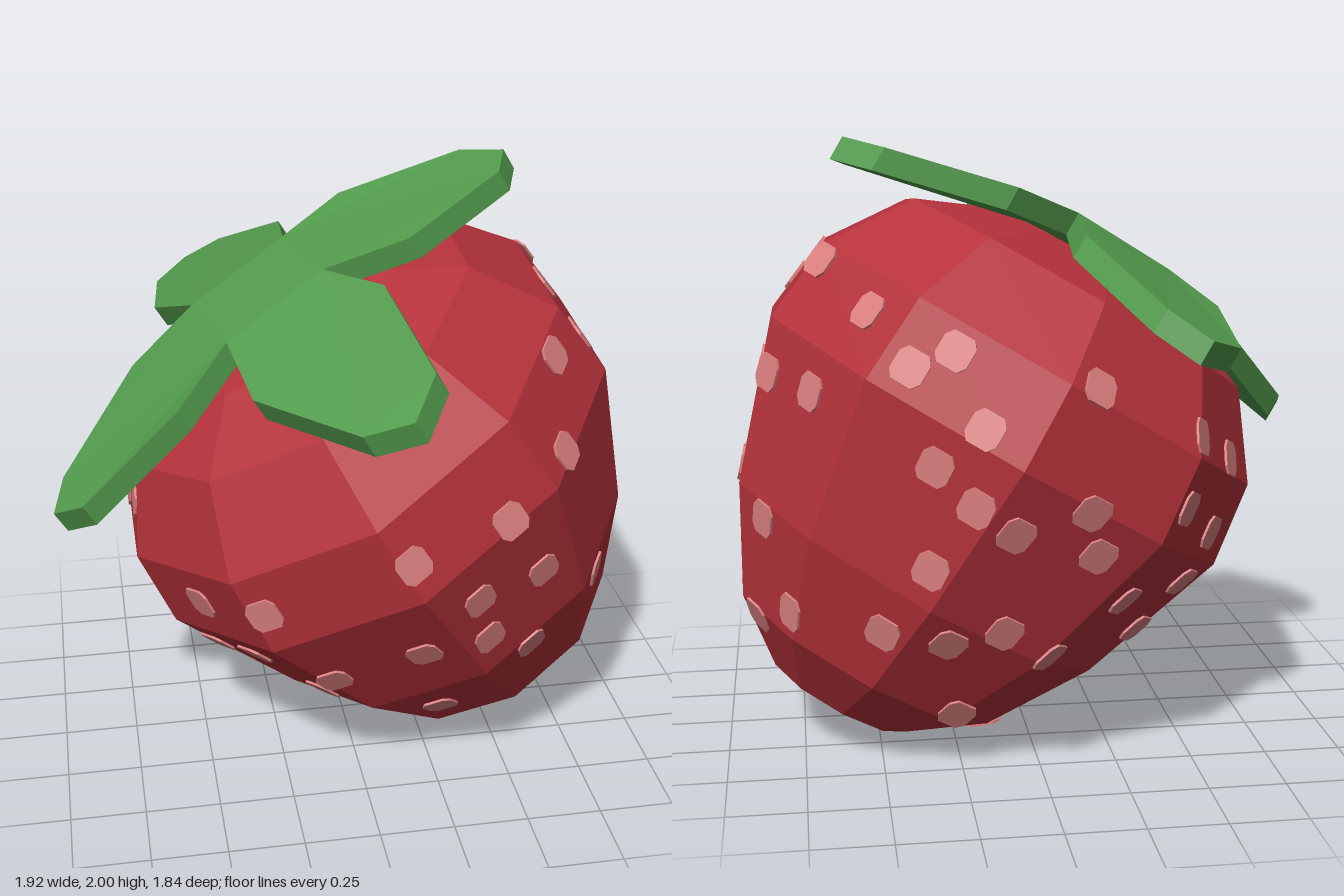
import * as THREE from 'three';
import { mergeGeometries } from 'three/addons/utils/BufferGeometryUtils.js';

const material = (name, color) => {
  const m = new THREE.MeshStandardMaterial({ color, flatShading: true });
  m.name = name;
  return m;
};

// Berry profile, [radius, height] from tip to crown
const PROFILE = [[0, -0.258], [0.26, -0.2], [0.485, -0.03], [0.69, 0.3], [0.87, 0.815],
  [0.835, 1.1], [0.65, 1.36], [0.38, 1.474], [0, 1.5]];

// One leaf seen from above, [x, z], starting at the crown centre
const LEAF = [[0, 0], [0.15, -0.22], [0.38, -0.36], [0.8, -0.36], [0.92, -0.24],
  [0.86, -0.09], [0.5, 0.15], [0.22, 0.15]];

// Seeds are projected onto the berry from a few directions: [across, up]
const SEEDS = [
  { from: [0, 0, 1], at: [[0.6, 1.53], [0.6, 1.285], [0.39, 1.14], [0.075, 1.06], [-0.355, 0.835],
    [-0.53, 0.76], [0.31, 0.86], [0.54, 0.89], [0.15, 0.65], [-0.12, 0.51], [-0.355, 0.52],
    [-0.46, 0.47], [0.365, 0.68], [0.81, 0.71], [0.54, 0.565], [0.65, 0.59], [-0.12, 0.32], [0.27, 0.27]] },
  { from: [1, 0, 0], at: [[-0.03, 1.63], [-0.415, 1.54], [-0.23, 1.525], [0.27, 1.635], [0.55, 1.515],
    [0.74, 1.42], [-0.575, 1.295], [0.02, 1.275], [0.3, 1.29], [0.5, 1.265], [0.79, 1.09], [0.09, 0.955],
    [-0.335, 0.72], [0.38, 0.84], [0.77, 0.77], [0.01, 0.475], [0.29, 0.495], [0.49, 0.565], [0.66, 0.545]] },
  { from: [0.636, -0.438, -0.636], at: [[0.22, 1.59], [0.2, 1.03], [0.5, 1.09], [0.64, 0.91], [0.4, 0.75],
    [0.63, 0.51], [0.18, 0.44], [0.49, 0.38], [0.29, 0.22], [0.04, 0.17]] },
  { from: [-0.636, 0.438, -0.636], at: [[-0.73, 1.37], [-0.67, 1.17], [-0.74, 0.89], [-0.76, 0.69],
    [-0.47, 0.89], [-0.14, 0.66], [-0.51, 0.56], [-0.17, 0.47], [0.12, 0.57], [0.42, 0.57], [0.07, 0.37],
    [-0.39, 0.42], [-0.71, 0.34], [-0.25, 0.27], [-0.45, 0.19], [0.59, 0.72]] },
];

// Flat leaf extruded, then drooped away from the crown
function leafGeometry() {
  const shape = new THREE.Shape(LEAF.map(([x, z]) => new THREE.Vector2(x, -z)));
  const geo = new THREE.ExtrudeGeometry(shape, { depth: 0.08, bevelEnabled: false });
  geo.rotateX(-Math.PI / 2);
  const p = geo.attributes.position;
  for (let i = 0; i < p.count; i++) {
    const reach = Math.max(0.22, Math.abs(p.getX(i)), Math.abs(p.getZ(i)));
    p.setY(i, p.getY(i) + 1.56 - 0.25 * reach);
  }
  geo.computeVertexNormals();
  return geo;
}

// Thin rounded-square plates lying on the facets they are projected onto
function seedGeometry(body) {
  const corners = [[0.053, 0.03], [0.034, 0.055], [-0.034, 0.055], [-0.053, 0.03],
    [-0.053, -0.03], [-0.034, -0.055], [0.034, -0.055], [0.053, -0.03]];
  const plate = new THREE.ExtrudeGeometry(
    new THREE.Shape(corners.map(([x, y]) => new THREE.Vector2(x, y))),
    { depth: 0.008, bevelEnabled: false });
  const axis = new THREE.Vector3(0, 1, 0).transformDirection(body.matrixWorld);
  const placed = [], plates = [];
  for (const { from, at } of SEEDS) {
    const dir = new THREE.Vector3(...from).normalize();
    const right = new THREE.Vector3(0, 1, 0).cross(dir).normalize();
    const up = dir.clone().cross(right);
    for (const [u, v] of at) {
      const origin = dir.clone().multiplyScalar(5).addScaledVector(right, u).addScaledVector(up, v);
      const hit = new THREE.Raycaster(origin, dir.clone().negate()).intersectObject(body)[0];
      if (!hit || placed.some((q) => q.distanceTo(hit.point) < 0.13)) continue;
      placed.push(hit.point);
      const n = hit.face.normal.clone().transformDirection(body.matrixWorld);
      const side = axis.clone().cross(n).normalize();
      const m = new THREE.Matrix4().makeBasis(side, n.clone().cross(side), n).setPosition(hit.point);
      plates.push(plate.clone().applyMatrix4(m));
    }
  }
  return mergeGeometries(plates);
}

export function createModel() {
  const red = material('berry red', 0xb5323b);
  const green = material('leaf green', 0x539b4d);
  const pink = material('seed pink', 0xdc8080);

  const model = new THREE.Group();
  model.name = 'strawberry';

  // Tilted frame shared by the fruit and its crown
  const fruit = new THREE.Group();
  fruit.name = 'tiltedFruit';
  fruit.position.set(0.527, 0.317, -0.1);
  fruit.rotation.set(0.08, 0, 0.541, 'ZXY');
  model.add(fruit);

  // Ten-sided berry
  const body = new THREE.Mesh(
    new THREE.LatheGeometry(PROFILE.map(([r, y]) => new THREE.Vector2(r, y)), 10), red);
  body.name = 'berry';
  body.rotation.y = -0.045;
  fruit.add(body);

  // Crown of four leaves
  const crown = new THREE.Group();
  crown.name = 'leafCrown';
  const leafGeo = leafGeometry();
  for (let i = 0; i < 4; i++) {
    const leaf = new THREE.Mesh(leafGeo, green);
    leaf.name = `leaf${i + 1}`;
    leaf.rotation.y = i * Math.PI / 2;
    crown.add(leaf);
  }
  fruit.add(crown);

  // Seeds
  model.updateMatrixWorld(true);
  const seeds = new THREE.Mesh(seedGeometry(body), pink);
  seeds.name = 'seeds';
  model.add(seeds);
  return model;
}
